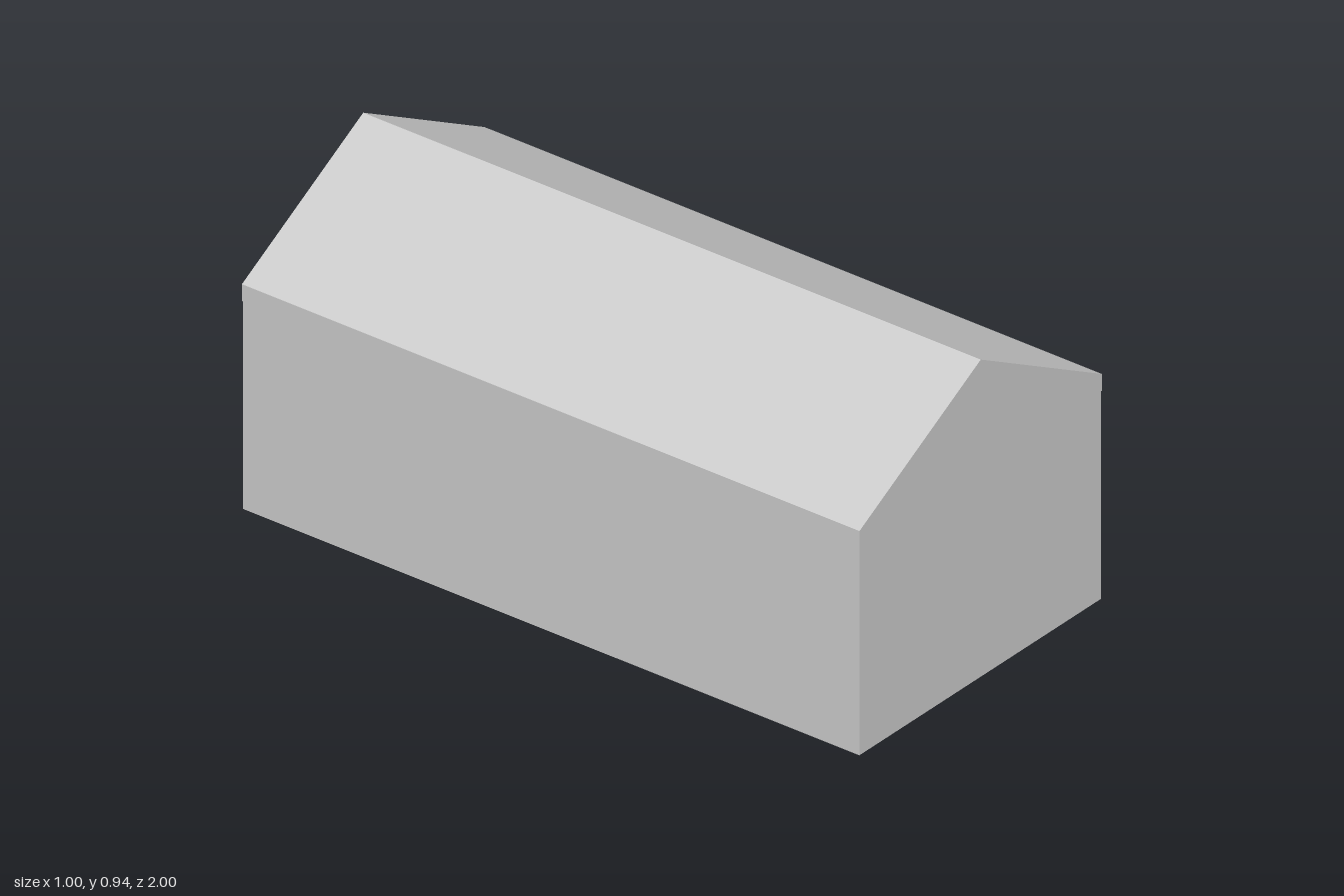
import * as THREE from 'three';

const W = 0.5, L = 1, EAVE = 0.665, RIDGE = 0.94, SKIRT = 0.05;
const IN = 0.002;   // wall cloth sits just inside the roof skirt
const R = 0.008;    // pole radius

const cloth = new THREE.MeshStandardMaterial({ color: 0xcccccc, side: THREE.DoubleSide, flatShading: true });
const metal = new THREE.MeshStandardMaterial({ color: 0xcccccc });

function add(parent, name, geometry, material) {
  const mesh = new THREE.Mesh(geometry, material);
  mesh.name = name;
  parent.add(mesh);
  return mesh;
}

// Flat cloth panel in the xy plane
function panel(points, hole) {
  const shape = new THREE.Shape(points.map(p => new THREE.Vector2(...p)));
  if (hole) shape.holes.push(new THREE.Path(hole.map(p => new THREE.Vector2(...p))));
  return new THREE.ShapeGeometry(shape);
}

// Sheet running the full length of the tent between two (x, y) edges
function longSheet([x0, y0], [x1, y1], halfLength) {
  const g = new THREE.BufferGeometry();
  const a = [x0, y0, halfLength], b = [x0, y0, -halfLength];
  const c = [x1, y1, -halfLength], d = [x1, y1, halfLength];
  g.setAttribute('position', new THREE.Float32BufferAttribute([a, b, c, a, c, d].flat(), 3));
  g.computeVertexNormals();
  return g;
}

// Round pole between two points
function pole(parent, name, from, to) {
  const a = new THREE.Vector3(...from), b = new THREE.Vector3(...to);
  const dir = b.clone().sub(a);
  const mesh = add(parent, name, new THREE.CylinderGeometry(R, R, dir.length(), 12), metal);
  mesh.position.copy(a).add(b).multiplyScalar(0.5);
  mesh.quaternion.setFromUnitVectors(new THREE.Vector3(0, 1, 0), dir.normalize());
}

export function createModel() {
  const tent = new THREE.Group();
  tent.name = 'partyTent';

  // Roof cover: two slopes, side skirts and gable skirts
  const roof = new THREE.Group();
  roof.name = 'roofCover';
  tent.add(roof);
  add(roof, 'roofSlopeLeft', longSheet([W, EAVE], [0, RIDGE], L), cloth);
  add(roof, 'roofSlopeRight', longSheet([0, RIDGE], [-W, EAVE], L), cloth);
  add(roof, 'sideSkirtLeft', longSheet([W, EAVE - SKIRT], [W, EAVE], L), cloth);
  add(roof, 'sideSkirtRight', longSheet([-W, EAVE], [-W, EAVE - SKIRT], L), cloth);
  for (const s of [1, -1]) {
    const skirt = add(roof, s > 0 ? 'gableSkirtFront' : 'gableSkirtBack', panel([
      [-W, EAVE - SKIRT], [0, RIDGE - SKIRT], [W, EAVE - SKIRT],
      [W, EAVE], [0, RIDGE], [-W, EAVE]]), cloth);
    skirt.position.z = s * L;
    if (s < 0) skirt.rotation.y = Math.PI;
  }

  // Side walls
  const w = W - IN, l = L - IN, top = EAVE - IN;
  add(tent, 'sideWallLeft', longSheet([w, 0], [w, top], l), cloth);
  add(tent, 'sideWallRight', longSheet([-w, top], [-w, 0], l), cloth);

  // Closed front wall and back wall with a wide doorway
  add(tent, 'frontWall', panel([[-w, 0], [w, 0], [w, top], [0, RIDGE - IN], [-w, top]]), cloth).position.z = l;
  const D = 0.4, DH = 0.64;
  const back = add(tent, 'backWall', panel([
    [-w, 0], [-D, 0], [-D, DH], [D, DH], [D, 0], [w, 0],
    [w, top], [0, RIDGE - IN], [-w, top]]), cloth);
  back.position.z = -l;
  back.rotation.y = Math.PI;

  // Pole frame: four arches with foot plates
  const frame = new THREE.Group();
  frame.name = 'poleFrame';
  tent.add(frame);
  const px = w - R - 0.003, pz = l - R - 0.003;
  const eaveY = EAVE - 0.012, ridgeY = RIDGE - 0.014;
  for (let i = 0; i < 4; i++) {
    const z = pz * (1 - (2 * i) / 3);
    for (const s of [1, -1]) {
      pole(frame, 'leg', [s * px, 0, z], [s * px, eaveY, z]);
      pole(frame, 'rafter', [s * px, eaveY, z], [0, ridgeY, z]);
      const foot = add(frame, 'footPlate', new THREE.BoxGeometry(0.022, 0.004, 0.022), metal);
      foot.position.set(s * (w - 0.012), 0.002, Math.sign(z) * Math.min(Math.abs(z), l - 0.012));
    }
  }

  // Eave rails and ridge rail
  for (const s of [1, -1]) pole(frame, 'eaveRail', [s * px, eaveY, -pz], [s * px, eaveY, pz]);
  pole(frame, 'ridgeRail', [0, ridgeY, -pz], [0, ridgeY, pz]);

  return tent;
}
